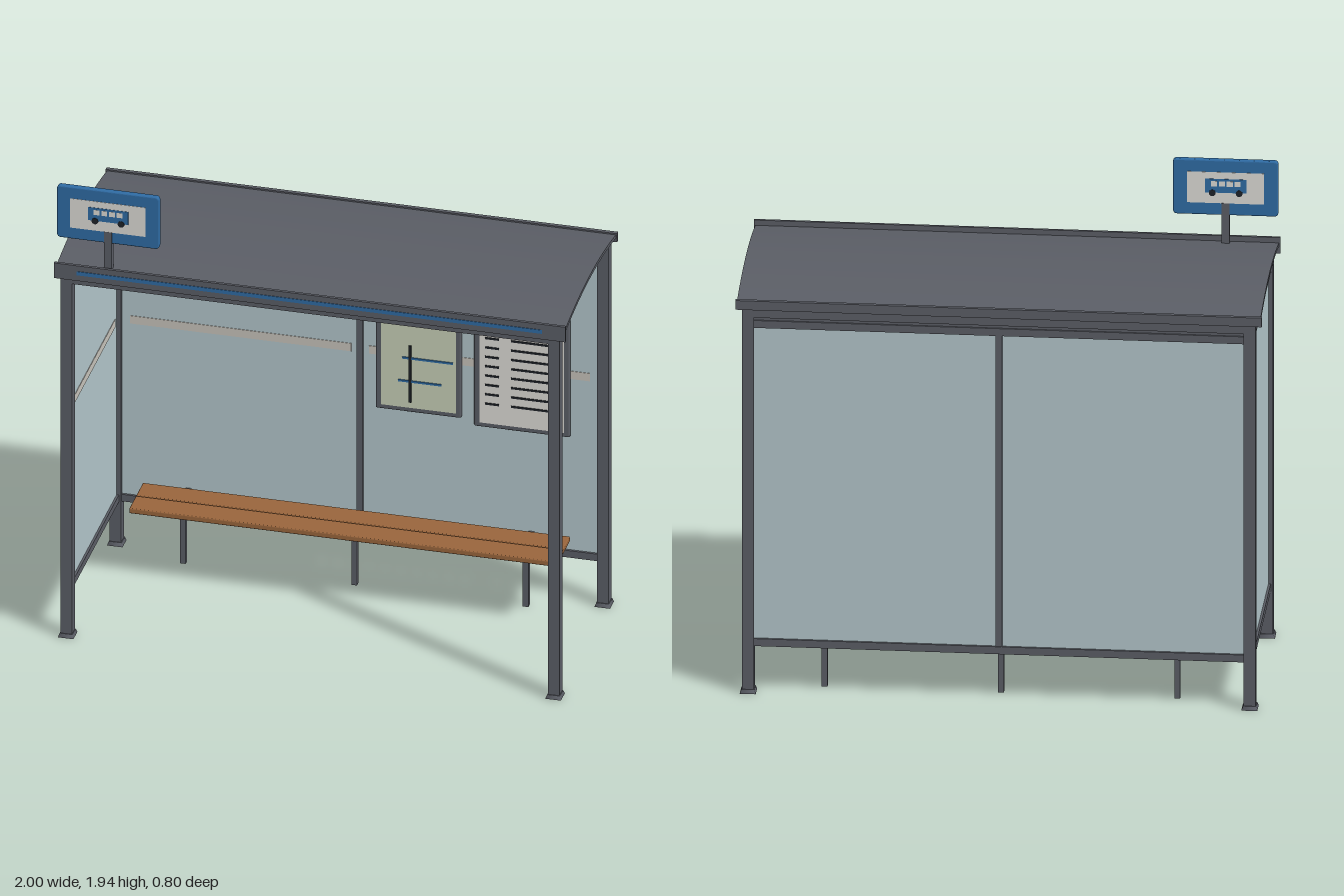
import * as THREE from 'three';
import { RoundedBoxGeometry } from 'three/addons/geometries/RoundedBoxGeometry.js';

const mat = (color, side = THREE.FrontSide) => new THREE.MeshStandardMaterial({ color, side });

export function createModel() {
  const steel = mat(0x5a5d65), glass = mat(0xb2c5ca), wood = mat(0x99653c), blue = mat(0x2f6ba3);
  const white = mat(0xdcdad5), black = mat(0x1e2228), mapGreen = mat(0xc6cfb6), band = mat(0xc6c2ba);
  const model = new THREE.Group();
  model.name = 'busShelter';

  const add = (parent, name, geometry, material, x = 0, y = 0, z = 0) => {
    const mesh = new THREE.Mesh(geometry, material);
    mesh.name = name;
    mesh.position.set(x, y, z);
    parent.add(mesh);
    return mesh;
  };
  // Box given by its lower and upper limits on each axis
  const box = (parent, name, material, [x0, x1], [y0, y1], [z0, z1]) =>
    add(parent, name, new THREE.BoxGeometry(x1 - x0, y1 - y0, z1 - z0), material,
      (x0 + x1) / 2, (y0 + y1) / 2, (z0 + z1) / 2);
  const group = (name, parent = model) => {
    const g = new THREE.Group();
    g.name = name;
    parent.add(g);
    return g;
  };

  // Corner posts with tapered foot plates
  const frame = group('frame');
  for (const x of [-0.953, 0.953]) {
    for (const z of [-0.37, 0.37]) {
      add(frame, 'post', new THREE.BoxGeometry(0.045, 1.585, 0.045), steel, x, 0.7925, z);
      const foot = new THREE.CylinderGeometry(0.035, 0.043, 0.016, 4);
      foot.rotateY(Math.PI / 4);
      add(frame, 'footPlate', foot, steel, x, 0.008, z);
    }
  }
  // Long beams below the roof
  for (const z of [-0.37, 0.37]) {
    box(frame, 'roofBeam', steel, [-0.953, 0.953], [1.53, 1.58], [z - 0.018, z + 0.018]);
  }
  box(frame, 'beamFiller', steel, [-0.94, 0.94], [1.51, 1.535], [-0.378, -0.368]);

  // Back wall: rails, centre mullion, two panes with marking bands
  const back = group('backWall');
  for (const y of [0.19, 1.487]) {
    box(back, 'rail', steel, [-0.935, 0.935], [y, y + 0.03], [-0.384, -0.356]);
  }
  box(back, 'mullion', steel, [-0.0125, 0.0125], [0.2, 1.5], [-0.382, -0.358]);
  for (const s of [-1, 1]) {
    add(back, 'pane', new THREE.BoxGeometry(0.92, 1.28, 0.01), glass, s * 0.471, 0.854, -0.37);
    add(back, 'markingBand', new THREE.BoxGeometry(0.865, 0.034, 0.002), band, s * 0.467, 0.977, -0.364);
  }

  // End wall on the right only
  const end = group('endWall');
  for (const y of [0.19, 1.487]) {
    box(end, 'rail', steel, [-0.967, -0.939], [y, y + 0.03], [-0.35, 0.35]);
  }
  box(end, 'pane', glass, [-0.958, -0.948], [0.215, 1.492], [-0.35, 0.35]);
  box(end, 'markingBand', band, [-0.948, -0.946], [0.96, 0.994], [-0.325, 0.325]);

  // Arched roof: circular arc section drawn in (z, y), extruded along x
  const roof = group('roof');
  const half = 0.39, rise = 0.037, top = 1.632, thick = 0.014;
  const radius = (half * half + rise * rise) / (2 * rise), centre = top - radius;
  const a = Math.asin(half / radius);
  const section = new THREE.Shape();
  section.absarc(0, centre, radius, Math.PI / 2 - a, Math.PI / 2 + a, false);
  section.absarc(0, centre, radius - thick, Math.PI / 2 + a, Math.PI / 2 - a, true);
  section.closePath();
  const sheet = new THREE.ExtrudeGeometry(section, { depth: 1.99, bevelEnabled: false, curveSegments: 24 });
  sheet.translate(0, 0, -0.995);
  sheet.rotateY(Math.PI / 2);
  add(roof, 'roofSheet', sheet, steel);
  box(roof, 'fascia', steel, [-1, 1], [1.552, 1.617], [0.386, 0.398]);
  box(roof, 'fasciaStripe', blue, [-0.91, 0.91], [1.577, 1.593], [0.397, 0.4]);
  box(roof, 'gutter', steel, [-1, 1], [1.565, 1.602], [-0.4, -0.384]);

  // Bench: two slats on three legs, with arms to the back rail
  const bench = group('bench');
  for (const z of [-0.153, -0.259]) {
    add(bench, 'slat', new RoundedBoxGeometry(1.67, 0.022, 0.102, 2, 0.004), wood, 0, 0.298, z);
  }
  for (const x of [-0.67, 0, 0.67]) {
    box(bench, 'leg', steel, [x - 0.011, x + 0.011], [0, 0.285], [-0.299, -0.275]);
    box(bench, 'arm', steel, [x - 0.011, x + 0.011], [0.276, 0.288], [-0.31, -0.2]);
    const tie = add(bench, 'tie', new THREE.BoxGeometry(0.022, 0.012, 0.07), steel, x, 0.277, -0.335);
    tie.rotation.x = -0.15;
  }

  // Map case
  const map = group('mapCase');
  const caseBody = (g, x0, x1, y0, y1) => add(g, 'case',
    new RoundedBoxGeometry(x1 - x0, y1 - y0, 0.02, 2, 0.007), steel, (x0 + x1) / 2, (y0 + y1) / 2, -0.353);
  caseBody(map, 0.065, 0.4, 0.74, 1.142);
  box(map, 'mapSheet', mapGreen, [0.088, 0.38], [0.76, 1.118], [-0.345, -0.341]);
  box(map, 'routeLine', black, [0.196, 0.206], [0.785, 1.03], [-0.342, -0.336]);
  box(map, 'routeLine', blue, [0.17, 0.37], [0.971, 0.979], [-0.342, -0.337]);
  box(map, 'routeLine', blue, [0.155, 0.325], [0.871, 0.879], [-0.342, -0.337]);

  // Timetable case with eight printed rows
  const times = group('timetableCase');
  caseBody(times, 0.45, 0.825, 0.715, 1.234);
  box(times, 'sheet', white, [0.472, 0.803], [0.735, 1.14], [-0.345, -0.341]);
  box(times, 'header', blue, [0.472, 0.803], [1.137, 1.19], [-0.345, -0.337]);
  for (let i = 0; i < 8; i++) {
    const y = 1.104 - i * 0.0405;
    box(times, 'rowMark', black, [0.495, 0.55], [y - 0.004, y + 0.004], [-0.342, -0.338]);
    box(times, 'rowMark', black, [0.597, 0.772], [y - 0.004, y + 0.004], [-0.342, -0.338]);
  }

  // Stop sign on a short post, with a vehicle pictogram on both faces
  const sign = group('stopSign');
  sign.position.set(-0.795, 1.828, 0.36);
  add(sign, 'signPost', new THREE.BoxGeometry(0.03, 0.185, 0.028), steel, 0, -0.155, 0);
  const w = 0.2, h = 0.112, r = 0.014;
  const plate = new THREE.Shape();
  plate.absarc(w - r, h - r, r, 0, Math.PI / 2);
  plate.absarc(r - w, h - r, r, Math.PI / 2, Math.PI);
  plate.absarc(r - w, r - h, r, Math.PI, Math.PI * 1.5);
  plate.absarc(w - r, r - h, r, Math.PI * 1.5, Math.PI * 2);
  const board = new THREE.ExtrudeGeometry(plate, {
    depth: 0.012, bevelThickness: 0.006, bevelSize: 0.005, bevelOffset: -0.005, bevelSegments: 3, curveSegments: 5,
  });
  board.translate(0, 0, -0.006);
  add(sign, 'signBoard', board, blue);
  for (const turn of [0, Math.PI]) {
    const face = group('signFace', sign);
    face.rotation.y = turn;
    box(face, 'panel', white, [-0.147, 0.147], [-0.063, 0.063], [0.011, 0.0132]);
    box(face, 'vehicleBody', blue, [-0.078, 0.08], [-0.02, 0.036], [0.013, 0.0145]);
    for (let i = 0; i < 4; i++) {
      const x = -0.055 + i * 0.03;
      box(face, 'window', white, [x, x + 0.023], [0.006, 0.027], [0.014, 0.0155]);
    }
    for (const x of [-0.05, 0.052]) {
      const wheel = new THREE.CylinderGeometry(0.013, 0.013, 0.003, 16);
      wheel.rotateX(Math.PI / 2);
      add(face, 'wheel', wheel, black, x, -0.021, 0.0148);
    }
  }
  return model;
}
